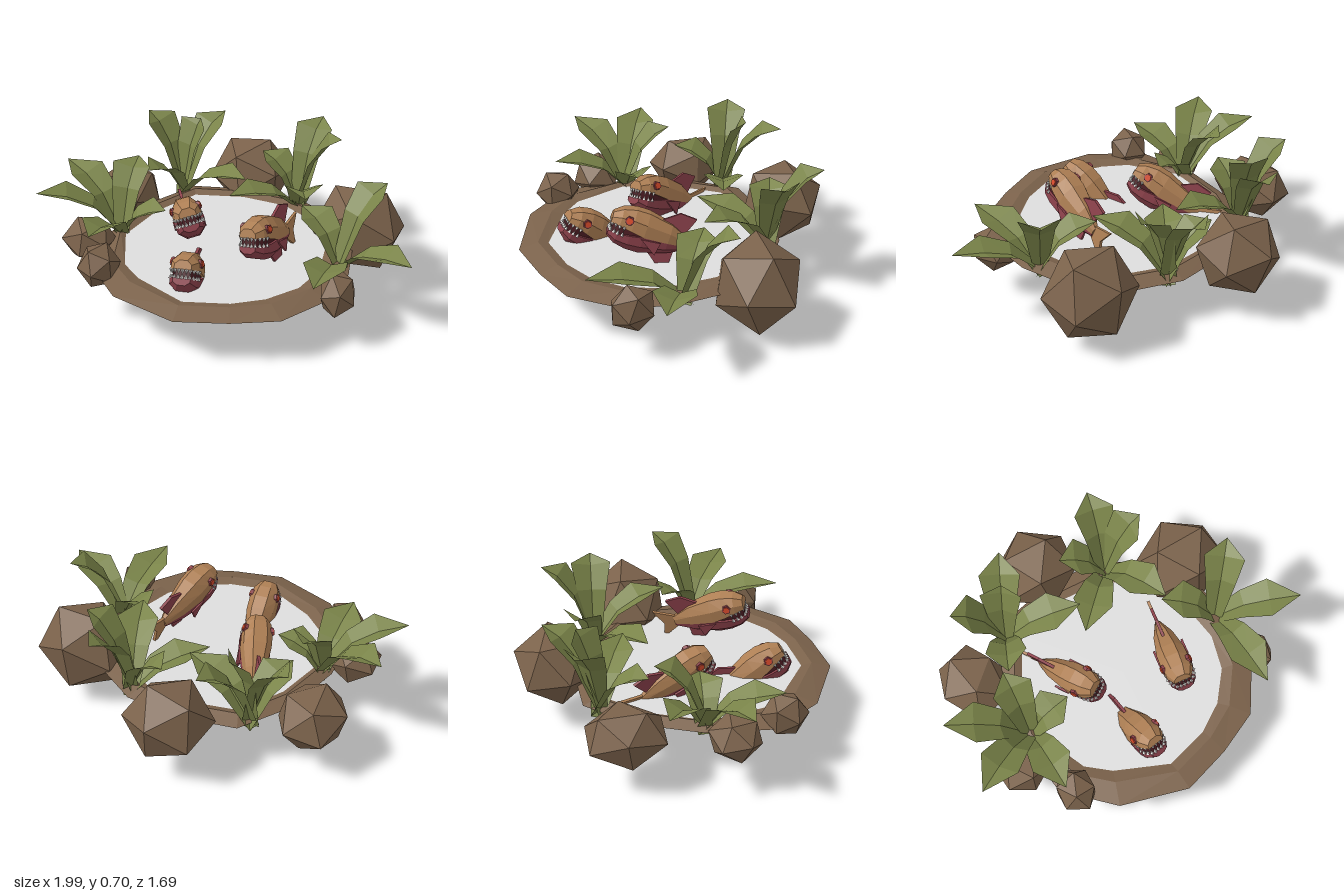
import * as THREE from 'three';

const mat = (name, color, side = THREE.FrontSide) => {
  const m = new THREE.MeshStandardMaterial({ color, side, flatShading: true });
  m.name = name;
  return m;
};
const M = {
  stone: mat('brown stone', 0x7b624b, THREE.DoubleSide),
  water: mat('pale water', 0xdedede, THREE.DoubleSide),
  leaf: mat('olive leaf', 0x7a8449, THREE.DoubleSide),
  scale: mat('tan scale', 0xae7f54, THREE.DoubleSide),
  belly: mat('dark red belly', 0x8c414b, THREE.DoubleSide),
  mouth: mat('dark mouth', 0x4a1c22),
  tooth: mat('white tooth', 0xe4e2de),
  eye: mat('orange eye', 0xd64a2c),
};

function add(parent, name, geometry, material) {
  const mesh = new THREE.Mesh(geometry, material);
  mesh.name = name;
  parent.add(mesh);
  return mesh;
}

// Joins rows of points with flat faces; closed rows may get end caps
function loft(rows, closed, caps) {
  const pos = [];
  const tri = (...pts) => pts.forEach(p => pos.push(...p));
  const n = rows[0].length;
  for (let r = 0; r < rows.length - 1; r++) {
    for (let i = 0; i < (closed ? n : n - 1); i++) {
      const j = (i + 1) % n, a = rows[r], b = rows[r + 1];
      tri(a[i], a[j], b[j]);
      tri(a[i], b[j], b[i]);
    }
  }
  if (caps) {
    const first = rows[0], last = rows[rows.length - 1];
    for (let i = 1; i < n - 1; i++) {
      tri(first[0], first[i + 1], first[i]);
      tri(last[0], last[i], last[i + 1]);
    }
  }
  const g = new THREE.BufferGeometry();
  g.setAttribute('position', new THREE.Float32BufferAttribute(pos, 3));
  g.computeVertexNormals();
  return g;
}

// Outer x, z and inner x, z around the pond
const SHORE = [
  [-0.10, 0.84, -0.10, 0.68], [0.17, 0.79, 0.14, 0.64], [0.41, 0.71, 0.30, 0.56],
  [0.60, 0.48, 0.44, 0.42], [0.66, 0.22, 0.51, 0.24], [0.64, -0.05, 0.50, -0.05],
  [0.50, -0.33, 0.38, -0.25], [0.25, -0.50, 0.20, -0.38], [-0.05, -0.54, -0.05, -0.42],
  [-0.36, -0.50, -0.32, -0.38], [-0.55, -0.25, -0.48, -0.15], [-0.66, 0.10, -0.57, 0.13],
  [-0.66, 0.45, -0.48, 0.42], [-0.45, 0.70, -0.37, 0.53],
];

function makePond() {
  const pond = new THREE.Group();
  pond.name = 'pond';
  // k: 0 is the outer edge, 1 the inner edge
  const ring = (k, y) => SHORE.map(([ox, oz, ix, iz]) => [ox + (ix - ox) * k, y, oz + (iz - oz) * k]);
  const shrunk = (s, y) => SHORE.map(([, , ix, iz]) => [ix * s, y, 0.12 + (iz - 0.12) * s]);
  add(pond, 'rim', loft([ring(0, 0.25), ring(0.65, 0.278), ring(1, 0.262)], true), M.stone);
  add(pond, 'bed', loft([shrunk(0.96, 0.252), shrunk(0.77, 0.248)], true), M.stone);
  add(pond, 'water', loft([shrunk(0, 0.26), shrunk(1.03, 0.26)], true), M.water);
  return pond;
}

// Rock fitted between two corners
function makeRock([x0, y0, z0, x1, y1, z1], turn) {
  const g = new THREE.IcosahedronGeometry(1, 0);
  g.rotateX(turn).rotateY(turn * 1.7).rotateZ(turn * 0.6);
  g.center();
  g.computeBoundingBox();
  const s = g.boundingBox.getSize(new THREE.Vector3());
  g.scale((x1 - x0) / s.x, (y1 - y0) / s.y, (z1 - z0) / s.z);
  g.translate((x0 + x1) / 2, (y0 + y1) / 2, (z0 + z1) / 2);
  return g;
}

// Folded blade that rises, then bends outwards into a pointed tip
function makeLeaf(root, tip) {
  const c = new THREE.Vector3(...tip);
  const a = new THREE.Vector3(...root);
  const out = new THREE.Vector3(c.x - a.x, 0, c.z - a.z).normalize();
  a.addScaledVector(out, -0.03);
  const b = a.clone().lerp(c, 0.42).setY(tip[1] + 0.08);
  const curve = new THREE.QuadraticBezierCurve3(a, b, c);
  const side = new THREE.Vector3(out.z, 0, -out.x);
  const rows = [[0, 0.035], [0.38, 0.08], [0.68, 0.108], [1, 0]].map(([t, w]) => {
    const p = curve.getPoint(t);
    const up = curve.getTangent(t).cross(side);
    const mid = p.clone().addScaledVector(up, -w * 0.35);
    return [p.clone().addScaledVector(side, w), mid, p.clone().addScaledVector(side, -w)].map(v => v.toArray());
  });
  return loft(rows, false);
}

// Thin fin drawn in the fish's side plane as [z, y] points
function fin(points, depth = 0.012) {
  const shape = new THREE.Shape(points.map(p => new THREE.Vector2(...p)));
  return new THREE.ExtrudeGeometry(shape, { depth, bevelEnabled: false })
    .translate(0, 0, -depth / 2).rotateY(-Math.PI / 2);
}

function makeFish() {
  const fish = new THREE.Group();
  fish.name = 'fish';
  const jawY = -0.01;
  // z, half width, height of back, depth of belly, mouth gap
  const stations = [
    [-0.2, 0.018, 0.04, 0.02, 0], [-0.09, 0.056, 0.092, 0.065, 0], [0.04, 0.08, 0.118, 0.098, 0],
    [0.11, 0.081, 0.118, 0.098, 0.012], [0.175, 0.072, 0.1, 0.085, 0.022], [0.22, 0.046, 0.068, 0.058, 0.022],
  ];
  const half = s => stations.map(([z, w, back, belly, g]) => {
    const h = s > 0 ? back : belly;
    return [[w, g], [w * 0.95, g + (h - g) * 0.55], [w * 0.45, h], [-w * 0.45, h], [-w * 0.95, g + (h - g) * 0.55], [-w, g]]
      .map(([x, y]) => [x * s, jawY + y * s, z]);
  });
  add(fish, 'back', loft(half(1), true, true), M.scale);
  add(fish, 'underside', loft(half(-1), true, true), M.belly);
  const inner = stations.slice(2).map(([z, w]) =>
    [[1, -1], [1, 1], [-1, 1], [-1, -1]].map(([x, y]) => [x * w * 0.82, jawY + y * 0.03, z - 0.012]));
  add(fish, 'mouth', loft(inner, true, true), M.mouth);

  // Teeth along both jaws
  const arc = [[0, 0.214], [0.02, 0.214], [0.04, 0.211], [0.055, 0.192], [0.067, 0.172], [0.073, 0.148]];
  for (const side of [-1, 1]) {
    arc.forEach(([x, z], i) => {
      if (i === 0 && side < 0) return;
      for (const jaw of [-1, 1]) {
        const tooth = add(fish, 'tooth', new THREE.ConeGeometry(0.011, 0.024, 4), M.tooth);
        tooth.position.set(x * side, jawY + jaw * 0.013, z);
        if (jaw > 0) tooth.rotation.z = Math.PI;
      }
    });
    // Flush eye in a dark socket
    const eyes = new THREE.Group();
    eyes.name = 'eyeAndSocket';
    eyes.position.set(side * 0.072, 0.053, 0.135);
    eyes.rotation.set(0, -side * 0.15, side * (0.2 - Math.PI / 2));
    add(eyes, 'eyeSocket', new THREE.CylinderGeometry(0.025, 0.025, 0.016, 6), M.belly);
    add(eyes, 'eye', new THREE.CylinderGeometry(0.018, 0.021, 0.026, 6), M.eye);
    fish.add(eyes);
    const pectoral = add(fish, 'pectoralFin', fin([[0.05, -0.02], [-0.05, -0.01], [-0.04, -0.08]]), M.belly);
    pectoral.position.x = side * 0.08;
  }
  add(fish, 'tailFin', fin([[-0.17, 0.025], [-0.3, 0.092], [-0.265, 0], [-0.3, -0.09], [-0.17, -0.025]], 0.016), M.scale);
  add(fish, 'dorsalFin', fin([[-0.02, 0.08], [-0.11, 0.15], [-0.2, 0.145], [-0.16, 0.03]], 0.016), M.belly);
  add(fish, 'bellyFin', fin([[0.0, -0.09], [-0.07, -0.145], [-0.14, -0.12], [-0.14, -0.04]]), M.belly);
  return fish;
}

export function createModel() {
  const model = new THREE.Group();
  model.name = 'fishPond';
  model.add(makePond());

  [
    [-0.27, 0.12, -0.85, 0.18, 0.52, -0.42], [0.40, 0.06, -0.43, 0.88, 0.50, 0.0],
    [-0.87, 0.14, -0.50, -0.51, 0.43, -0.10], [-0.87, 0.17, 0.10, -0.61, 0.38, 0.37],
    [-0.69, 0.19, 0.38, -0.49, 0.40, 0.63], [0.55, 0.15, 0.33, 0.73, 0.39, 0.55],
  ].forEach((box, i) => add(model, 'rock', makeRock(box, 0.5 + i * 0.8), M.stone));

  // Each plant: root, then leaf tips
  const plants = [
    [[-0.60, 0.22, 0.10], [-0.97, 0.55, -0.11], [-1.0, 0.54, 0.29], [-0.57, 0.60, -0.15], [-0.64, 0.45, 0.50], [-0.35, 0.42, 0.10]],
    [[-0.40, 0.22, -0.42], [-0.63, 0.69, -0.53], [-0.22, 0.66, -0.69], [-0.53, 0.5, -0.17], [-0.32, 0.68, -0.52], [0.0, 0.46, -0.27]],
    [[0.27, 0.22, -0.42], [0.35, 0.69, -0.69], [0.04, 0.52, -0.52], [0.50, 0.69, -0.42], [-0.06, 0.42, -0.14], [0.38, 0.52, -0.02]],
    [[0.60, 0.22, 0.15], [0.80, 0.66, -0.05], [0.99, 0.44, 0.38], [0.55, 0.42, 0.65], [0.36, 0.48, -0.03]],
  ];
  for (const [root, ...tips] of plants) {
    const plant = new THREE.Group();
    plant.name = 'plant';
    tips.forEach(tip => add(plant, 'leaf', makeLeaf(root, tip), M.leaf));
    model.add(plant);
  }

  // Position, then pitch, yaw and roll
  [
    [[-0.265, 0.33, -0.02], [-0.46, 0.32, 0.25]],
    [[-0.13, 0.24, 0.40], [-0.63, 0.04, 0]],
    [[0.235, 0.42, 0.215], [-0.35, -0.32, 0.2]],
  ].forEach(([p, r]) => {
    const fish = makeFish();
    fish.position.set(...p);
    fish.rotation.set(...r, 'YXZ');
    model.add(fish);
  });
  return model;
}
